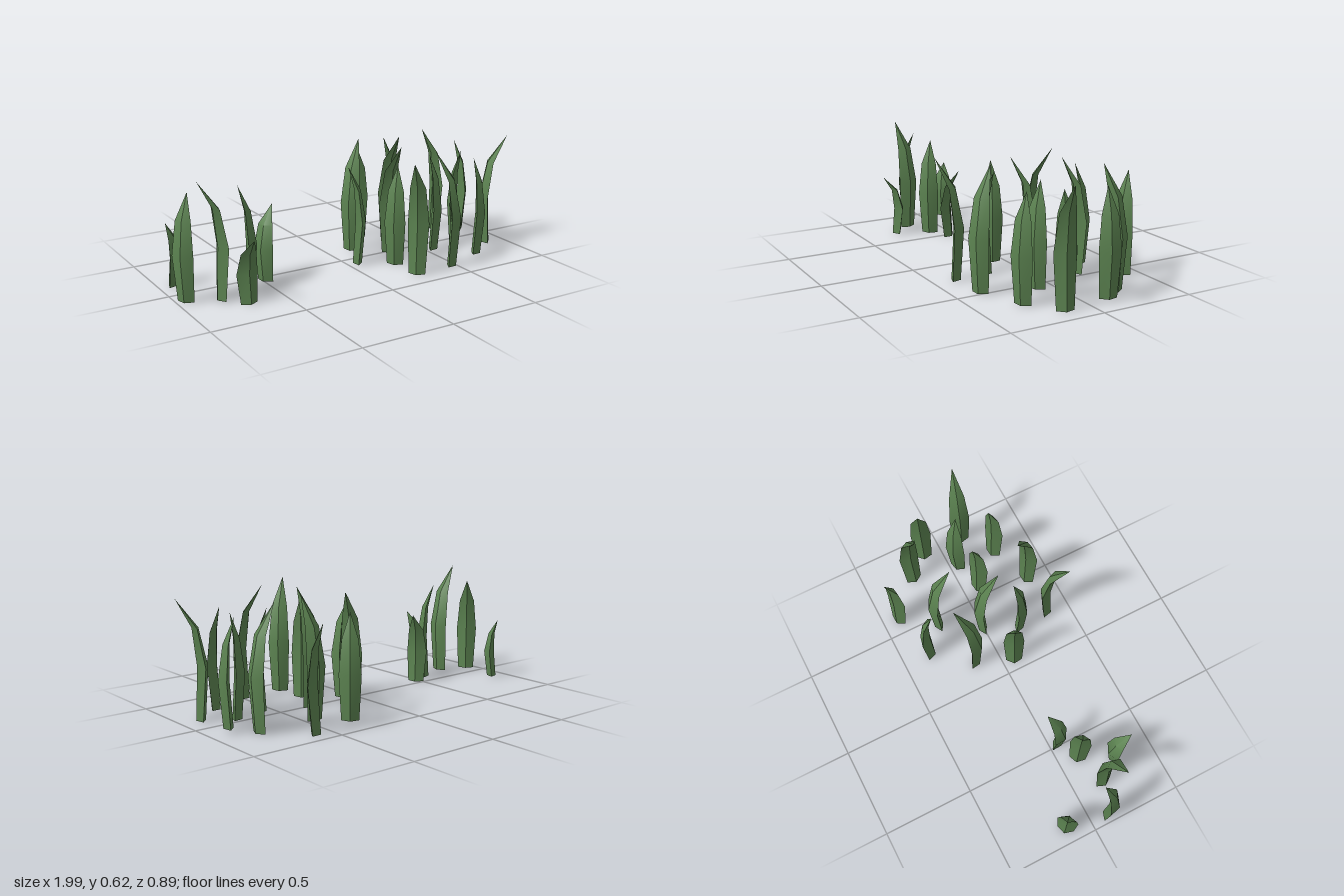
import * as THREE from 'three';
import { toCreasedNormals } from 'three/addons/utils/BufferGeometryUtils.js';

// Blade cross-sections: height fraction, half width, half depth, backward bow, share of the lean
const LEVELS = [
  [0, 0.045, 0.025, 0, 0],
  [0.44, 0.057, 0.028, -0.017, 0],
  [0.76, 0.042, 0.017, -0.012, 0.25],
];

// One tapering blade with a diamond section, leaning towards +z
function bladeGeometry(height, lean) {
  const points = [];
  const faces = [];
  for (const [t, w, d, bow, share] of LEVELS) {
    const z = bow + share * lean;
    const y = t * height;
    points.push(0, y, z + d, w, y, z, 0, y, z - d, -w, y, z);
  }
  points.push(0, height, lean);
  const tip = LEVELS.length * 4;
  for (let i = 0; i < 4; i++) {
    const j = (i + 1) % 4;
    for (let r = 0; r < tip - 4; r += 4) {
      faces.push(r + i, r + j, r + j + 4, r + i, r + j + 4, r + i + 4);
    }
    faces.push(tip - 4 + i, tip - 4 + j, tip);
  }
  faces.push(0, 2, 1, 0, 3, 2);
  const geometry = new THREE.BufferGeometry();
  geometry.setAttribute('position', new THREE.Float32BufferAttribute(points, 3));
  geometry.setIndex(faces);
  return toCreasedNormals(geometry, 0.6);
}

// Each blade: root x, root z, tip x, tip z, height, optional lift
const SMALL_CLUMP = [
  [-0.92, -0.14, -0.94, -0.16, 0.33],
  [-0.95, 0.1, -0.905, 0.06, 0.54],
  [-0.79, 0.165, -0.905, 0.18, 0.62],
  [-0.695, 0.28, -0.695, 0.355, 0.34],
  [-0.608, 0.105, -0.645, 0.075, 0.54],
  [-0.485, 0.045, -0.42, 0.005, 0.395],
];
const LARGE_CLUMP = [
  [0.063, 0.065, 0.015, 0.045, 0.54],
  [0.148, -0.135, 0.235, -0.2, 0.62],
  [0.228, 0.185, 0.255, 0.16, 0.54],
  [0.315, -0.335, 0.29, -0.305, 0.54],
  [0.315, -0.005, 0.315, 0.103, 0.62],
  [0.45, -0.22, 0.45, -0.115, 0.62],
  [0.585, -0.41, 0.565, -0.445, 0.54],
  [0.78, -0.22, 0.675, -0.21, 0.62],
  [0.88, -0.105, 0.84, -0.118, 0.54, 0.015],
  [0.733, 0.045, 0.75, 0.065, 0.54],
  [0.555, 0.088, 0.535, 0.06, 0.54],
  [0.718, 0.268, 0.7, 0.24, 0.54],
  [0.885, 0.14, 0.992, 0.17, 0.62],
  [0.24, 0.372, 0.16, 0.445, 0.62],
  [0.477, 0.362, 0.418, 0.27, 0.62],
];

function clump(name, blades, material) {
  const group = new THREE.Group();
  group.name = name;
  for (const [x, z, tipX, tipZ, height, lift = 0] of blades) {
    const dx = tipX - x;
    const dz = tipZ - z;
    const blade = new THREE.Mesh(bladeGeometry(height, Math.hypot(dx, dz)), material);
    blade.name = 'grassBlade';
    blade.position.set(x, lift, z);
    blade.rotation.y = Math.atan2(dx, dz);
    group.add(blade);
  }
  return group;
}

export function createModel() {
  const green = new THREE.MeshStandardMaterial({ color: 0x5b8250 });
  green.name = 'grassGreen';
  const model = new THREE.Group();
  model.name = 'grass';
  model.add(clump('smallClump', SMALL_CLUMP, green), clump('largeClump', LARGE_CLUMP, green));
  return model;
}
